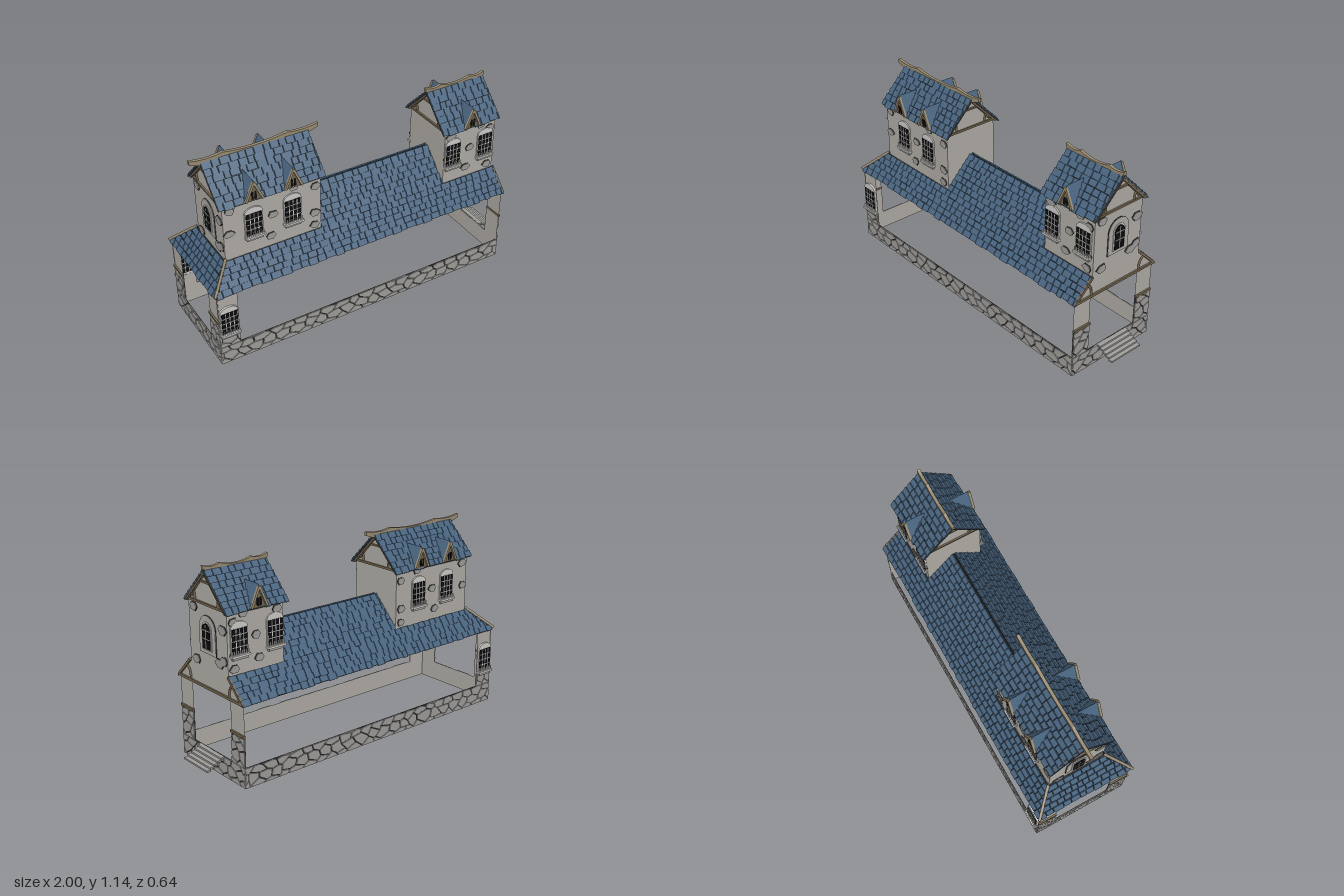
import * as THREE from 'three';
import { mergeGeometries } from 'three/addons/utils/BufferGeometryUtils.js';

const mat = (name, color, side = THREE.FrontSide) =>
  Object.assign(new THREE.MeshStandardMaterial({ color, side }), { name });
const M = {
  tile: mat('slateBlue', 0x4a6580),
  gap: mat('darkJoint', 0x2b2c2c),
  stone: mat('stoneGrey', 0x9d9c99),
  plaster: mat('plaster', 0xaeaba4, THREE.DoubleSide),
  trim: mat('paleTrim', 0xcbcac7),
  glass: mat('darkGlass', 0x0b0c0e),
  wood: mat('timber', 0x75664f),
  ridge: mat('paleTimber', 0x978a70),
  under: mat('roofUnderside', 0x5d5343, THREE.DoubleSide),
};

let seed = 7;
const rnd = () => ((seed = (seed * 16807) % 2147483647) / 2147483647);
const hash = (a, b) => { const s = Math.sin(a * 127.1 + b * 311.7) * 43758.5453; return s - Math.floor(s) - 0.5; };

function add(parent, name, geo, material, x = 0, y = 0, z = 0) {
  const m = new THREE.Mesh(geo, material);
  m.name = name; m.position.set(x, y, z); parent.add(m);
  return m;
}
function group(parent, name, x = 0, y = 0, z = 0, ry = 0) {
  const g = new THREE.Group();
  g.name = name; g.position.set(x, y, z); g.rotation.y = ry; parent.add(g);
  return g;
}
const box = (w, h, d) => new THREE.BoxGeometry(w, h, d);
const poly = pts => new THREE.Shape(pts.map(p => new THREE.Vector2(p[0], p[1])));
const plate = (shape, depth) => new THREE.ExtrudeGeometry(shape, { depth, bevelEnabled: false, curveSegments: 10 });
function arch(w, h, rise) {
  const s = new THREE.Shape().moveTo(-w / 2, 0).lineTo(w / 2, 0);
  return s.absellipse(0, h - rise, w / 2, rise, 0, Math.PI, false);
}
// Straight timber between two points of a wall face
function bar(parent, name, a, b, t, z, material = M.wood) {
  const m = add(parent, name, box(Math.hypot(b[0] - a[0], b[1] - a[1]), t, 0.014), material, (a[0] + b[0]) / 2, (a[1] + b[1]) / 2, z);
  m.rotation.z = Math.atan2(b[1] - a[1], b[0] - a[0]);
}
function brace(parent, a, c, b) {
  const v = p => new THREE.Vector3(p[0], p[1], 0.003);
  add(parent, 'curvedBrace', new THREE.TubeGeometry(new THREE.QuadraticBezierCurve3(v(a), v(c), v(b)), 6, 0.008, 4), M.wood);
}

// Rubble masonry: jittered hexagons with dark joints, on a plaster back
function masonry(parent, name, x0, x1, y0, y1) {
  const g = group(parent, name), w = x1 - x0, h = y1 - y0, a = 0.042, r = 0.05, geos = [];
  add(g, 'backing', new THREE.PlaneGeometry(w, h), M.plaster, x0 + w / 2, y0 + h / 2, -0.007);
  add(g, 'joints', new THREE.PlaneGeometry(w, h), M.gap, x0 + w / 2, y0 + h / 2, -0.004);
  for (let j = -1; j * r < h + r; j++) for (let i = -1; i * 2 * a < w + 2 * a; i++) {
    const cx = (i * 2 + (j & 1)) * a, cy = j * r;
    const ring = [[0, -2], [1, -1], [1, 1], [0, 2], [-1, 1], [-1, -1]].map(([u, v]) => {
      const kx = i * 2 + (j & 1) + u, ky = j * 3 + v;
      return [THREE.MathUtils.clamp(cx + u * a + hash(kx + x0, ky) * 0.04, 0, w),
        THREE.MathUtils.clamp(cy + v * r / 3 + hash(ky, kx + y0) * 0.026, 0, h)];
    });
    const mx = ring.reduce((s, p) => s + p[0], 0) / 6, my = ring.reduce((s, p) => s + p[1], 0) / 6;
    const shape = poly(ring.map(p => [x0 + mx + (p[0] - mx) * 0.92, y0 + my + (p[1] - my) * 0.9]));
    if (Math.abs(THREE.ShapeUtils.area(shape.getPoints())) > 0.0003) geos.push(plate(shape, 0.006));
  }
  add(g, 'stones', mergeGeometries(geos), M.stone, 0, 0, -0.004);
}
// Single stone showing through the plaster
function patch(parent, x, y, s = 0.035) {
  const ring = k => poly([0, 1, 2, 3, 4, 5].map(i => [
    x + Math.cos(i * 1.047) * s * k * (1 + hash(i + x, y) * 0.4), y + Math.sin(i * 1.047) * s * 0.75 * k * (1 + hash(x, i + y) * 0.4)]));
  add(parent, 'stoneOutline', plate(ring(1.1), 0.004), M.gap);
  add(parent, 'exposedStone', plate(ring(1), 0.007), M.stone);
}

// 45 degree tiled slope; lo/hi are the x limits at eave (0) and top (1)
function slope(parent, name, lo0, hi0, lo1, hi1, y, z, len) {
  const g = group(parent, name, 0, y, z), geos = [], rows = Math.round(len / 0.036), p = len / rows;
  g.rotation.x = -Math.PI / 4;
  const deck = new THREE.ShapeGeometry(poly([[lo0, 0], [hi0, 0], [hi1, len], [lo1, len]]));
  add(g, 'deck', deck, M.gap);
  add(g, 'underside', deck, M.under, 0, 0, -0.003);
  for (let r = 0; r < rows; r++) {
    const t = (r + 0.3) / rows, hi = hi0 + (hi1 - hi0) * t;
    for (let x = lo0 + (lo1 - lo0) * t; x < hi - 0.004;) {
      const w = Math.min(0.034 + rnd() * 0.03, hi - x), drop = rnd() * 0.009;
      const b = box(Math.max(w - 0.004, 0.003), p + drop - 0.003, 0.007);
      b.rotateX(0.14 + rnd() * 0.06).rotateZ((rnd() - 0.5) * 0.05);
      geos.push(b.translate(x + w / 2, (r + 0.5) * p - drop / 2, 0.006));
      x += w;
    }
  }
  add(g, 'tiles', mergeGeometries(geos), M.tile);
}

// Window with glazing bars and stepped sill, standing on y
function windowUnit(parent, x, y) {
  const g = group(parent, 'window', x, y, 0);
  add(g, 'surround', plate(arch(0.106, 0.19, 0.035), 0.012), M.trim, 0, 0, -0.004);
  add(g, 'pane', box(0.094, 0.135, 0.02), M.glass, 0, 0.085, 0.001);
  for (let i = -1; i <= 1; i++) {
    add(g, 'uprightBar', box(0.004, 0.135, 0.025), M.trim, i * 0.0235, 0.085, 0.001);
    add(g, 'crossBar', box(0.094, 0.004, 0.025), M.trim, 0, 0.088 + i * 0.033, 0.001);
  }
  for (let i = -4; i <= 4; i++) add(g, 'baluster', box(0.004, 0.022, 0.006), M.trim, i * 0.0125, 0.024, 0.016);
  add(g, 'sill', box(0.116, 0.012, 0.03), M.trim, 0, 0.007, 0.01);
  add(g, 'lowerSill', box(0.096, 0.012, 0.02), M.stone, 0, -0.008, 0.006);
}
function archedWindow(parent, y) {
  const g = group(parent, 'archedWindow', 0, y, 0);
  add(g, 'outline', plate(arch(0.15, 0.21, 0.075), 0.004), M.gap);
  add(g, 'panel', plate(arch(0.146, 0.206, 0.073), 0.006), M.plaster, 0, 0.002);
  add(g, 'frame', plate(arch(0.084, 0.155, 0.042), 0.013), M.trim, 0, 0.022, -0.003);
  add(g, 'pane', plate(arch(0.066, 0.138, 0.033), 0.02), M.glass, 0, 0.03, -0.005);
  add(g, 'uprightBar', box(0.004, 0.13, 0.024), M.trim, 0, 0.097, 0.005);
  for (const h of [0.085, 0.132]) add(g, 'crossBar', box(0.066, 0.004, 0.024), M.trim, 0, h, 0.005);
}

function dormer(parent, x) {
  const g = group(parent, 'dormer', x, 0.93, 0);
  add(g, 'dormerRoof', plate(poly([[-0.052, 0], [0.052, 0], [0, 0.122]]), 0.135), M.tile, 0, 0, 0.06);
  add(g, 'dormerFace', plate(poly([[-0.04, 0], [0.04, 0], [0, 0.09]]), 0.003), M.wood, 0, 0, 0.195);
  for (const s of [-1, 1]) {
    add(g, 'dormerLight', plate(arch(0.012, 0.045, 0.008), 0.003), M.glass, s * 0.009, 0.008, 0.198);
    bar(g, 'dormerBoard', [s * 0.05, 0], [0, 0.112], 0.013, 0.2, M.ridge);
  }
}

// Gable wall in local coordinates, facing +z
function gable(parent, name, x, ry, wide, lit) {
  const g = group(parent, name, x, 0, 0, ry), half = [[0.172, 0.585], [0.172, 0.93], [0, 1.102]];
  if (wide) half.unshift([0.29, 0.47]);
  const left = half.slice(0, -1).reverse().map(([a, b]) => [-a, b]);
  add(g, 'gableWall', new THREE.ShapeGeometry(poly([...half, ...left])), M.plaster);
  bar(g, 'tieBeam', [-0.172, 0.935], [0.172, 0.935], 0.012, 0.003);
  bar(g, 'collar', [-0.05, 1.052], [0.05, 1.052], 0.01, 0.003);
  for (const s of [-1, 1]) {
    bar(g, 'bargeBoard', [s * 0.18, 0.925], [0, 1.105], 0.016, 0.008);
    brace(g, [s * 0.135, 0.955], [s * 0.105, 1.0], [s * 0.04, 1.06]);
    brace(g, [s * 0.105, 0.935], [s * 0.1, 0.99], [s * 0.125, 0.985]);
    if (wide) {
      bar(g, 'skirtBoard', [s * 0.295, 0.47], [s * 0.175, 0.59], 0.014, 0.004);
      brace(g, [s * 0.215, 0.55], [s * 0.175, 0.54], [s * 0.178, 0.475]);
    }
  }
  if (wide) bar(g, 'baseBeam', [-0.295, 0.472], [0.295, 0.472], 0.014, 0.003);
  if (lit) {
    archedWindow(g, 0.665);
    for (const [a, b] of [[-0.125, 0.9], [0.135, 0.83], [0.1, 0.64], [-0.11, 0.61], [0.14, 0.66]]) patch(g, a, b);
  }
}

// Upper house block with mirrored fronts
function tower(parent, name, x0, x1, r0, r1, b0, b1, windows, dormers) {
  const t = group(parent, name), w = x1 - x0;
  for (const s of [1, -1]) {
    const f = group(t, s > 0 ? 'frontSide' : 'backSide', 0, 0, 0, s > 0 ? 0 : Math.PI);
    const wall = group(f, 'wall', 0, 0, 0.172);
    add(wall, 'plasterWall', new THREE.PlaneGeometry(w, 0.35), M.plaster, s * (x0 + x1) / 2, 0.76);
    windows.forEach(x => windowUnit(wall, s * x, 0.685));
    for (const [u, y] of [[0.03, 0.75], [0.04, 0.89], [w - 0.035, 0.87], [w - 0.04, 0.7], [w - 0.04, 0.62], [w / 2, 0.78], [w / 2 - 0.02, 0.65], [w * 0.72, 0.91]])
      patch(wall, s * (x0 + u), y, 0.03);
    const lo = s > 0 ? r0 : -r1, hi = s > 0 ? r1 : -r0;
    slope(f, 'upperRoof', lo, hi, lo, hi, 0.922, 0.19, 0.268);
    dormers.forEach(x => dormer(f, s * x));
  }
  // Carved ridge beam with upswept ends
  const c = (b0 + b1) / 2, q = (b1 - b0) / 4;
  const crest = new THREE.Shape().moveTo(b0, 1.122).lineTo(b0 + 0.05, 1.104).lineTo(b1 - 0.05, 1.104).lineTo(b1, 1.122).lineTo(b1, 1.145)
    .quadraticCurveTo(b1 - q * 0.5, 1.122, c + q, 1.142).quadraticCurveTo(c, 1.108, c - q, 1.142).quadraticCurveTo(b0 + q * 0.5, 1.122, b0, 1.145);
  add(t, 'ridgeBeam', plate(crest, 0.018), M.ridge, 0, 0, -0.009);
  return t;
}

export function createModel() {
  const root = new THREE.Group();
  root.name = 'timberedHouse';
  const X0 = -0.985, X1 = 0.885, Z = 0.293;

  // Long sides: footing, corner window panel, skirt roof, middle roof
  for (const s of [1, -1]) {
    const f = group(root, s > 0 ? 'front' : 'back', 0, 0, 0, s > 0 ? 0 : Math.PI);
    const span = (a, b) => (s > 0 ? [a, b] : [-b, -a]);
    const face = group(f, 'lowerWall', 0, 0, Z);
    masonry(face, 'footing', ...span(X0, X1), 0, 0.117);
    masonry(face, 'cornerStone', ...span(X0, -0.865), 0.117, 0.2);
    add(face, 'cornerPlaster', new THREE.PlaneGeometry(0.12, 0.275), M.plaster, s * -0.925, 0.3375, -0.004);
    windowUnit(face, s * -0.925, 0.2);
    const [a0, a1] = span(-0.99, 0.895), [c0, c1] = span(-0.868, 0.895), [m0, m1] = span(-0.285, 0.53);
    slope(f, 'skirtRoof', a0, a1, c0, c1, 0.464, 0.297, 0.173);
    slope(f, 'middleRoof', m0, m1, m0, m1, 0.586, 0.175, 0.2475);
    // Hip timber at the closed end
    const hip = new THREE.LineCurve3(new THREE.Vector3(s * -0.995, 0.475, 0.3), new THREE.Vector3(s * -0.865, 0.602, 0.175));
    add(f, 'hipTimber', new THREE.TubeGeometry(hip, 1, 0.009, 5), M.ridge);
  }

  // Short ends: footing and two corner piers
  for (const [x, ry] of [[X1, Math.PI / 2], [X0, -Math.PI / 2]]) {
    const e = group(root, 'endWall', x, 0, 0, ry);
    masonry(e, 'footing', -Z, Z, 0, 0.117);
    for (const s of [-1, 1]) {
      const lo = s > 0 ? 0.175 : -Z, hi = s > 0 ? Z : -0.175;
      masonry(e, 'pierStone', lo, hi, 0.117, 0.287);
      bar(e, 'pierBeam', [lo, 0.293], [hi, 0.293], 0.014, -0.001);
      add(e, 'pierPlaster', new THREE.PlaneGeometry(hi - lo, 0.175), M.plaster, (lo + hi) / 2, 0.3875, -0.004);
    }
  }
  const hipEnd = group(root, 'hipEnd', 0, 0, 0, -Math.PI / 2);
  slope(hipEnd, 'hipRoof', -0.297, 0.297, -0.175, 0.175, 0.464, 0.99, 0.173);

  // Upper blocks
  const big = tower(root, 'largeUpperBlock', -0.865, -0.285, -0.89, -0.26, -0.95, -0.2, [-0.69, -0.46], [-0.69, -0.46]);
  gable(big, 'outerGable', -0.865, -Math.PI / 2, false, true);
  gable(big, 'innerGable', -0.285, Math.PI / 2, false, false);
  const small = tower(root, 'smallUpperBlock', 0.53, X1, 0.505, 0.902, 0.5, 0.905, [0.587, 0.815], [0.7]);
  gable(small, 'outerGable', X1, Math.PI / 2, true, true);
  gable(small, 'innerGable', 0.53, -Math.PI / 2, false, false);

  // Entrance steps
  const steps = group(root, 'steps');
  for (let i = 0; i < 5; i++) add(steps, 'step', box(0.026, 0.01, 0.22), M.stone, 0.898 + i * 0.0222, 0.114 - i * 0.012, 0);
  return root;
}
